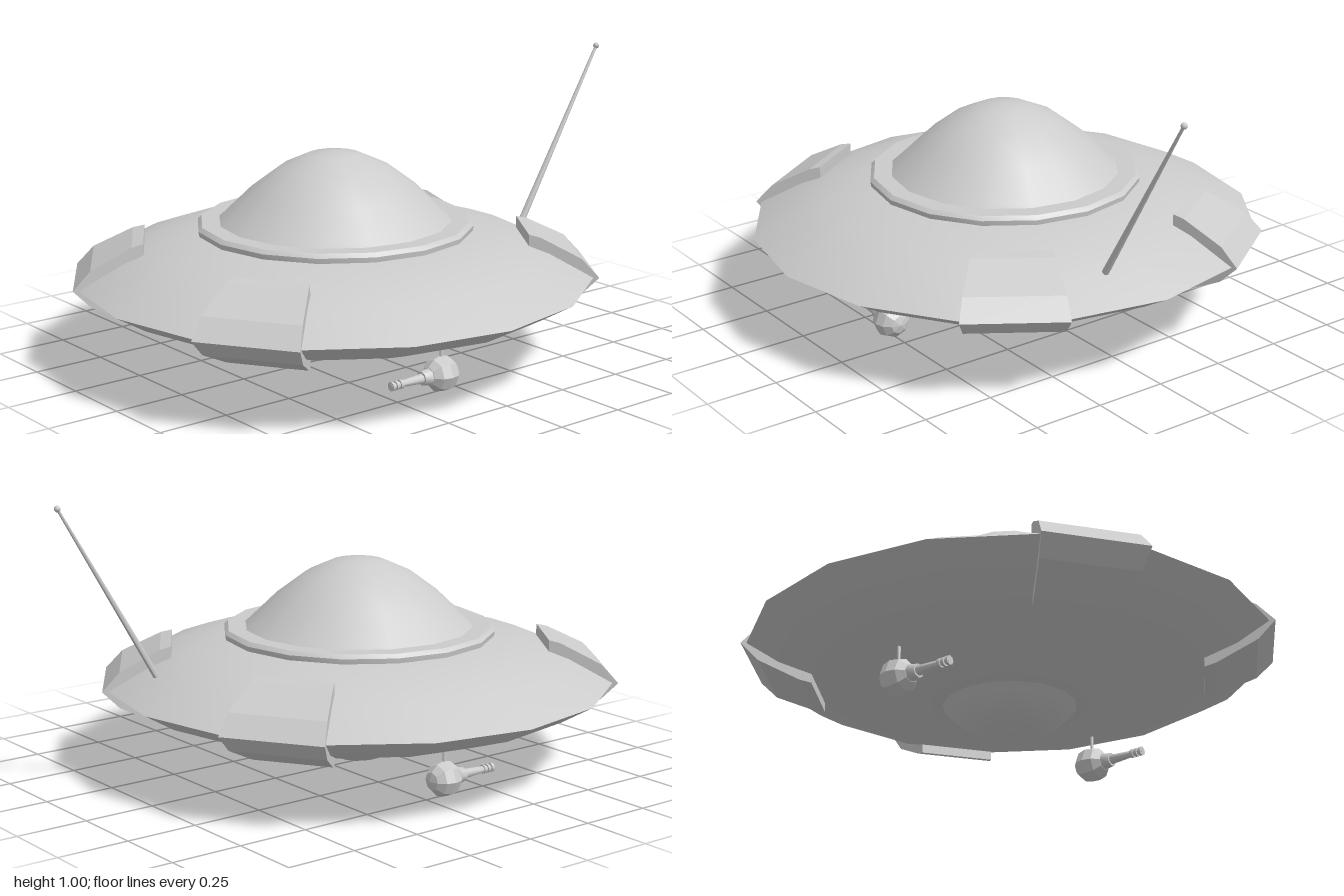
import * as THREE from 'three';
import { toCreasedNormals } from 'three/addons/utils/BufferGeometryUtils.js';

const SIDES = 16;
const material = new THREE.MeshStandardMaterial({ color: 0xcccccc });
const flat = new THREE.MeshStandardMaterial({ color: 0xcccccc, flatShading: true });

const points = (list) => list.map(([x, y]) => new THREE.Vector2(x, y));

function add(parent, name, geometry, mat = material) {
  const mesh = new THREE.Mesh(geometry, mat);
  mesh.name = name;
  parent.add(mesh);
  return mesh;
}

// Round part from a profile listed bottom to top, smooth except at sharp edges
function turned(profile) {
  return toCreasedNormals(new THREE.LatheGeometry(points(profile), SIDES), 0.6);
}

// Tapered rod between two points
function rod(parent, name, from, to, r0, r1, sides = 8) {
  const a = new THREE.Vector3(...from), b = new THREE.Vector3(...to);
  const dir = b.clone().sub(a);
  const mesh = add(parent, name, toCreasedNormals(new THREE.CylinderGeometry(r1, r0, dir.length(), sides), 0.9));
  mesh.position.copy(a).add(b).multiplyScalar(0.5);
  mesh.quaternion.setFromUnitVectors(new THREE.Vector3(0, 1, 0), dir.normalize());
  return mesh;
}

// Plate that wraps the rim over one side of the saucer
function rimPanel(startAngle) {
  const shape = new THREE.Shape(points([
    [0.66, 0.175], [0.7, 0.185], [0.84, 0.25], [0.9, 0.31],
    [0.84, 0.375], [0.7, 0.445], [0.66, 0.455],
  ]));
  const geometry = new THREE.ExtrudeGeometry(shape, { depth: 1, bevelEnabled: false });
  const pos = geometry.attributes.position;
  const step = (Math.PI * 2) / SIDES;
  for (let i = 0; i < pos.count; i++) {
    const r = pos.getX(i), phi = startAngle + step * (1 - pos.getZ(i));
    pos.setXYZ(i, r * Math.sin(phi), pos.getY(i), r * Math.cos(phi));
  }
  geometry.computeVertexNormals();
  return geometry;
}

// Ball turret with a forward barrel, hung from a thin post
function gun(x) {
  const g = new THREE.Group();
  g.name = x > 0 ? 'leftGun' : 'rightGun';
  const ball = add(g, 'gunBall', new THREE.SphereGeometry(0.062, 8, 6), flat);
  ball.rotation.x = Math.PI / 2;
  rod(g, 'gunPost', [0, 0.04, 0], [0, 0.125, 0], 0.006, 0.006, 6);
  rod(g, 'barrelCollar', [0, 0, 0.05], [0, 0, 0.085], 0.03, 0.024);
  rod(g, 'barrel', [0, 0, 0.08], [0, 0, 0.215], 0.018, 0.009);
  for (const z of [0.175, 0.192, 0.209]) {
    rod(g, 'muzzleRing', [0, 0, z - 0.005], [0, 0, z + 0.005], 0.016, 0.016);
  }
  g.position.set(x, 0.065, 0.07);
  return g;
}

export function createModel() {
  const model = new THREE.Group();
  model.name = 'flyingSaucer';

  // Saucer body sits slightly forward, as the antenna leans out behind
  const saucer = new THREE.Group();
  saucer.name = 'saucer';
  saucer.position.z = 0.11;
  model.add(saucer);

  add(saucer, 'hull', turned([
    [0, 0.113], [0.23, 0.113], [0.615, 0.19], [0.77, 0.245], [0.88, 0.31],
    [0.73, 0.39], [0.62, 0.43], [0.46, 0.467], [0, 0.467],
  ]));
  add(saucer, 'domeRing', turned([
    [0.4, 0.462], [0.47, 0.462], [0.473, 0.482], [0.46, 0.495], [0.39, 0.495],
  ]));
  add(saucer, 'dome', turned([
    [0.41, 0.485], [0.385, 0.505], [0.285, 0.602], [0.185, 0.677], [0.09, 0.72], [0, 0.733],
  ]));
  add(saucer, 'bellyDome', turned([
    [0, 0.015], [0.08, 0.022], [0.14, 0.046], [0.19, 0.08], [0.225, 0.114],
  ]));

  // Four rim panels, mirrored left to right
  for (const degrees of [22.5, 135, -45, -157.5]) {
    add(saucer, 'rimPanel', rimPanel(THREE.MathUtils.degToRad(degrees)), flat);
  }

  // Guns under the hull
  for (const side of [-1, 1]) model.add(gun(side * 0.508));

  // Antenna
  const tip = [0.142, 0.992, -0.989];
  rod(model, 'antenna', [0.142, 0.395, -0.633], tip, 0.012, 0.005);
  add(model, 'antennaTip', new THREE.SphereGeometry(0.011, 8, 6)).position.set(...tip);

  return model;
}
